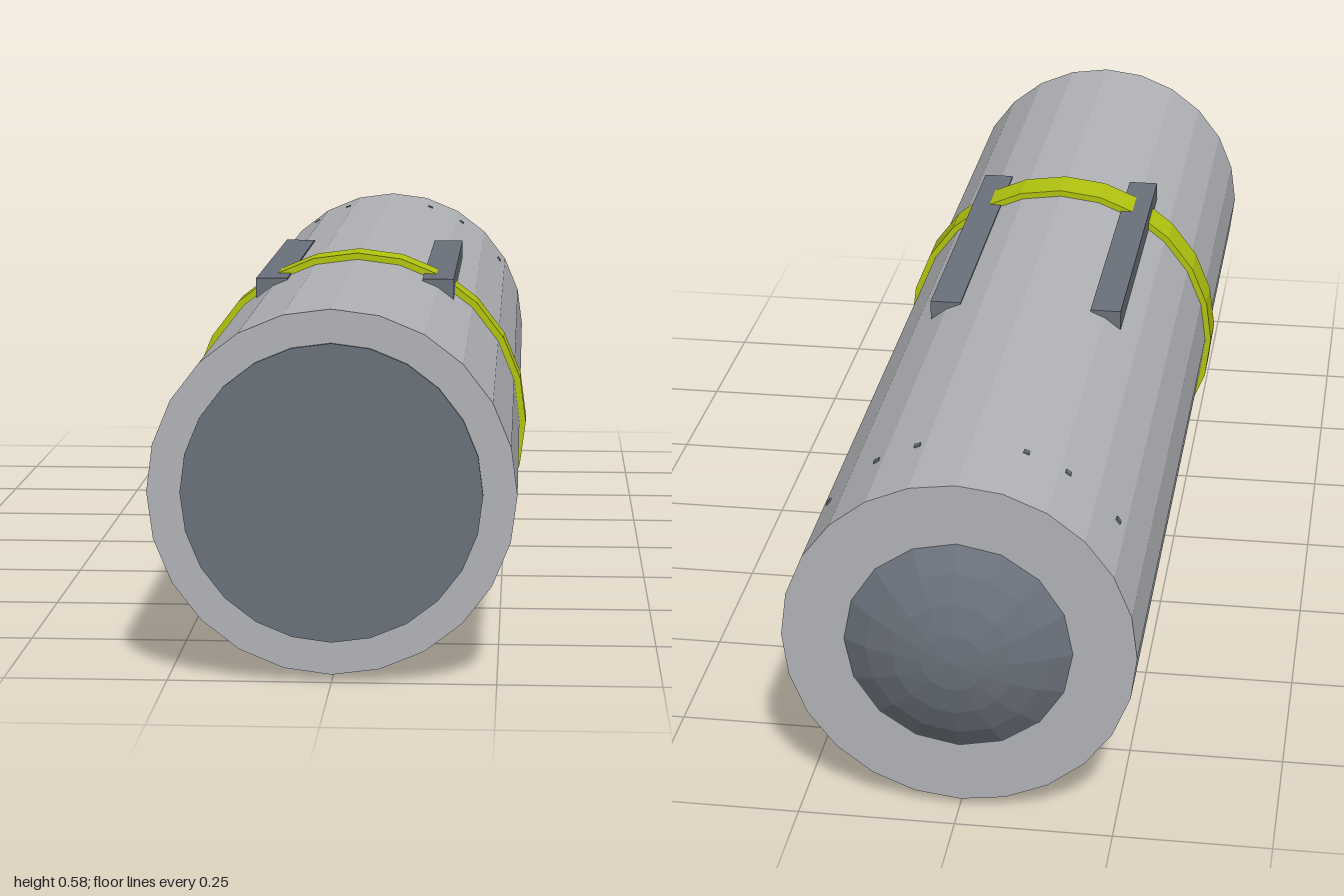
import * as THREE from 'three';

const CY = 0.291; // height of the tube axis

export function createModel() {
  const group = new THREE.Group();
  const make = (name, color) => {
    const m = new THREE.MeshStandardMaterial({ color, flatShading: true });
    m.name = name;
    return m;
  };
  const grey = make('light grey', 0xb2b4b8);
  const slate = make('slate', 0x6b727c);
  const yellow = make('yellow green', 0xb4c60f);

  const add = (name, geometry, material, x, y, z) => {
    const mesh = new THREE.Mesh(geometry, material);
    mesh.name = name;
    mesh.position.set(x, y, z);
    group.add(mesh);
    return mesh;
  };
  // 24-sided drum lying along z between z0 and z1
  const drum = (name, radius, z0, z1, material) =>
    add(name, new THREE.CylinderGeometry(radius, radius, z1 - z0, 24).rotateX(Math.PI / 2),
      material, 0, CY, (z0 + z1) / 2);

  drum('body', 0.279, -0.945, 0.995, grey);
  drum('frontCap', 0.228, 0.98, 1, slate);
  drum('band', 0.29, 0.257, 0.332, yellow);

  // Shallow faceted dome on the back end
  const R = 0.322, base = 0.183;
  const dome = new THREE.SphereGeometry(R, 16, 4, 0, Math.PI * 2, 0, Math.asin(base / R));
  dome.rotateX(-Math.PI / 2);
  add('rearDome', dome, slate, 0, CY, -1 + R);

  // Rails along the top, and tiny rivets near the back
  for (const side of [-1, 1]) {
    add(side > 0 ? 'leftRail' : 'rightRail', new THREE.BoxGeometry(0.053, 0.034, 0.62),
      slate, side * 0.1405, 0.529, 0.1);
    for (const up of [-1, 1]) {
      for (const degrees of [34, 57, 72]) {
        const a = THREE.MathUtils.degToRad(degrees);
        const rivet = add('rivet', new THREE.BoxGeometry(0.008, 0.01, 0.01), slate,
          side * Math.cos(a) * 0.276, CY + up * Math.sin(a) * 0.276, -0.79);
        rivet.rotation.z = side * up * a;
      }
    }
  }
  return group;
}
